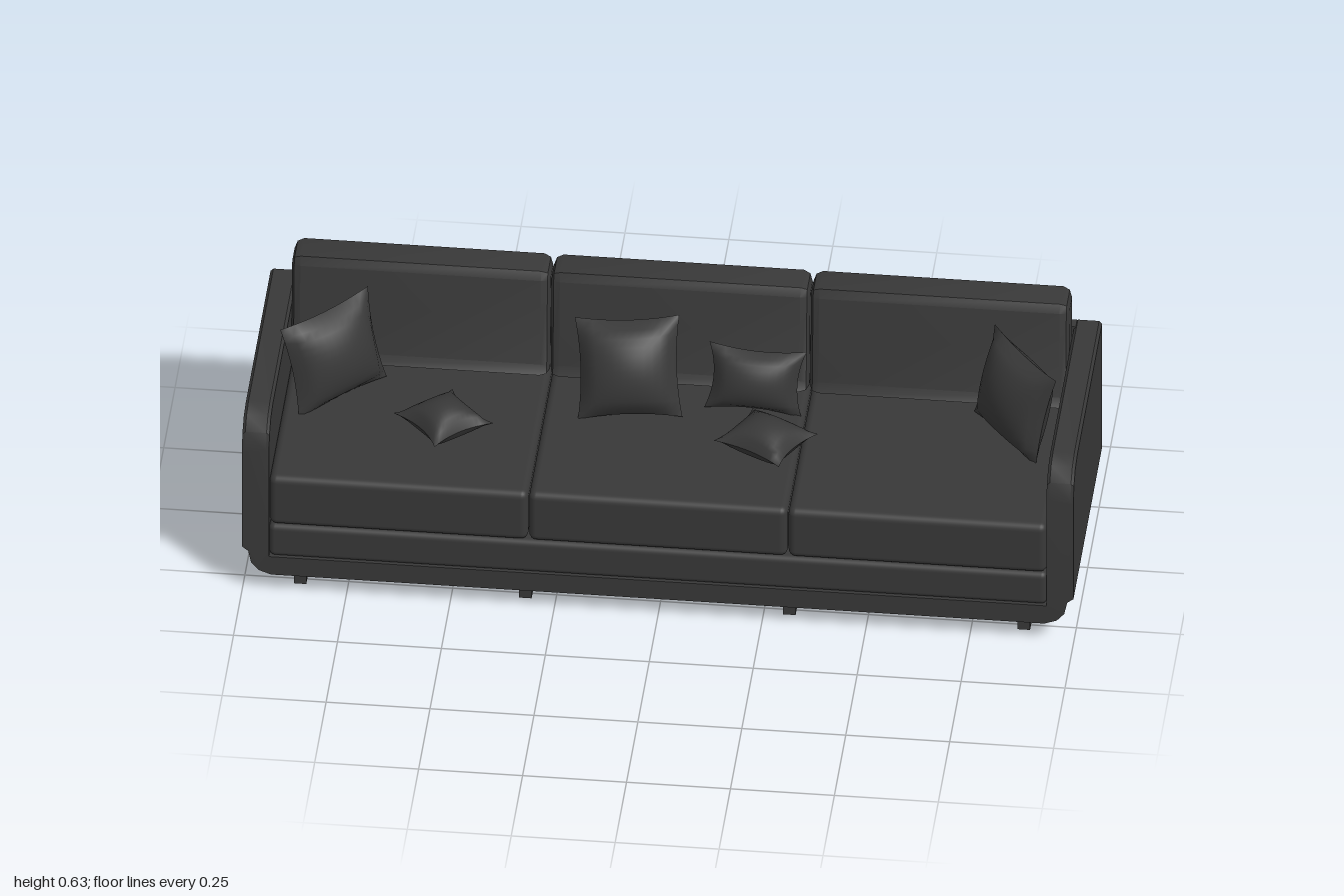
import * as THREE from 'three';
import { toCreasedNormals } from 'three/addons/utils/BufferGeometryUtils.js';
import { RoundedBoxGeometry } from 'three/addons/geometries/RoundedBoxGeometry.js';

const fabric = new THREE.MeshStandardMaterial({ color: 0x383838 });
fabric.name = 'charcoal fabric';

function add(group, name, geometry, x = 0, y = 0, z = 0) {
  const mesh = new THREE.Mesh(geometry, fabric);
  mesh.name = name;
  mesh.position.set(x, y, z);
  group.add(mesh);
  return mesh;
}

// U-shaped body: both arms and the base, with rounded lower edges and front arm tops
function bodyGeometry() {
  const right = [[0.935, 0.105], [0.935, 0.493], [0.942, 0.5], [0.993, 0.5], [1, 0.493],
    [1, 0.13], [0.985, 0.118], [0.978, 0.085], [0.96, 0.064], [0.93, 0.053]];
  const left = right.map(([x, y]) => [-x, y]).reverse();
  const shape = new THREE.Shape([...right, ...left].map(([x, y]) => new THREE.Vector2(x, y)));
  const stations = [-0.315, 0.23, 0.275, 0.305, 0.315];
  const drops = [0, 0, 0.011, 0.04, 0.085];
  const g = new THREE.ExtrudeGeometry(shape, { depth: 4, steps: 4, bevelEnabled: false });
  const p = g.attributes.position;
  for (let i = 0; i < p.count; i++) {
    const k = Math.round(p.getZ(i));
    if (p.getY(i) > 0.45) p.setY(i, p.getY(i) - drops[k]);
    p.setZ(i, stations[k]);
  }
  return toCreasedNormals(g, 0.6);
}

// Back cushion: bevelled side profile swept along x
function backCushionGeometry(width) {
  const b = 0.022;
  const profile = [[0.16, 0.357], [0.18, 0.357], [0.197, 0.606], [0.2, 0.611], [0.25, 0.611], [0.253, 0.606], [0.253, 0.357]];
  profile[0][0] = 0.177;
  const shape = new THREE.Shape(profile.map(([x, y]) => new THREE.Vector2(x, y)));
  const g = new THREE.ExtrudeGeometry(shape, {
    depth: width - 2 * b, bevelThickness: b, bevelSize: b, bevelSegments: 2,
  });
  g.translate(0, 0, -width / 2 + b);
  g.rotateY(Math.PI / 2);
  return toCreasedNormals(g, 0.6);
}

// Throw pillow: a puffed square with concave edges and pointed corners
function pillowGeometry(w, h, thickness, pinch) {
  const n = 12;
  const side = (sign) => {
    const g = new THREE.PlaneGeometry(2, 2, n, n);
    const p = g.attributes.position;
    for (let i = 0; i < p.count; i++) {
      const u = p.getX(i), v = p.getY(i);
      const puff = Math.pow(Math.max(0, (1 - u * u) * (1 - v * v)), 0.6);
      p.setXYZ(i, sign * u * (1 - pinch * (1 - v * v)) * w / 2,
        v * (1 - pinch * (1 - u * u)) * h / 2, sign * puff * thickness / 2);
    }
    g.computeVertexNormals();
    return g;
  };
  return [side(1), side(-1)];
}

export function createModel() {
  const sofa = new THREE.Group();
  sofa.name = 'sofa';

  add(sofa, 'armsAndBase', bodyGeometry());
  add(sofa, 'backPanel', new THREE.BoxGeometry(1.88, 0.4, 0.03), 0, 0.3, -0.3);
  add(sofa, 'lowerSeat', new RoundedBoxGeometry(1.872, 0.092, 0.595, 3, 0.015), 0, 0.15, 0.016);

  // Three seat and back cushions
  for (const x of [-0.624, 0, 0.624]) {
    add(sofa, 'seatCushion', new RoundedBoxGeometry(0.622, 0.14, 0.595, 3, 0.018), x, 0.266, 0.016);
    add(sofa, 'backCushion', backCushionGeometry(0.622), x, 0, 0);
  }

  // Two rows of block legs
  for (const x of [-0.865, -0.323, 0.312, 0.876])
    for (const z of [0.231, -0.235])
      add(sofa, 'leg', new THREE.BoxGeometry(0.03, 0.056, 0.08), x, 0.028, z);

  // Pillows: position, size, thickness, pinch, then tilt, yaw and roll
  const pillows = [
    [[-0.82, 0.453, -0.05], [0.26, 0.25, 0.12], 0.08, [-0.2, 0.72, 0.08]],
    [[0.82, 0.453, -0.05], [0.26, 0.25, 0.12], 0.08, [-0.2, -0.85, -0.06]],
    [[-0.112, 0.453, -0.07], [0.25, 0.25, 0.13], 0.08, [-0.4, 0.08, 0.04]],
    [[0.19, 0.418, -0.1], [0.235, 0.17, 0.1], 0.14, [-0.25, 0, -0.05]],
    [[-0.54, 0.383, 0.09], [0.172, 0.172, 0.095], 0.2, [-Math.PI / 2, 0, 0.72]],
    [[0.235, 0.383, 0.085], [0.19, 0.165, 0.095], 0.16, [-Math.PI / 2, 0, -0.5]],
  ];
  for (const [pos, [w, h, t], pinch, [tilt, yaw, roll]] of pillows) {
    const pillow = new THREE.Group();
    pillow.name = 'throwPillow';
    for (const g of pillowGeometry(w, h, t, pinch)) add(pillow, 'pillowSide', g);
    pillow.position.set(...pos);
    pillow.rotation.set(tilt, yaw, roll, 'YXZ');
    sofa.add(pillow);
  }
  return sofa;
}
